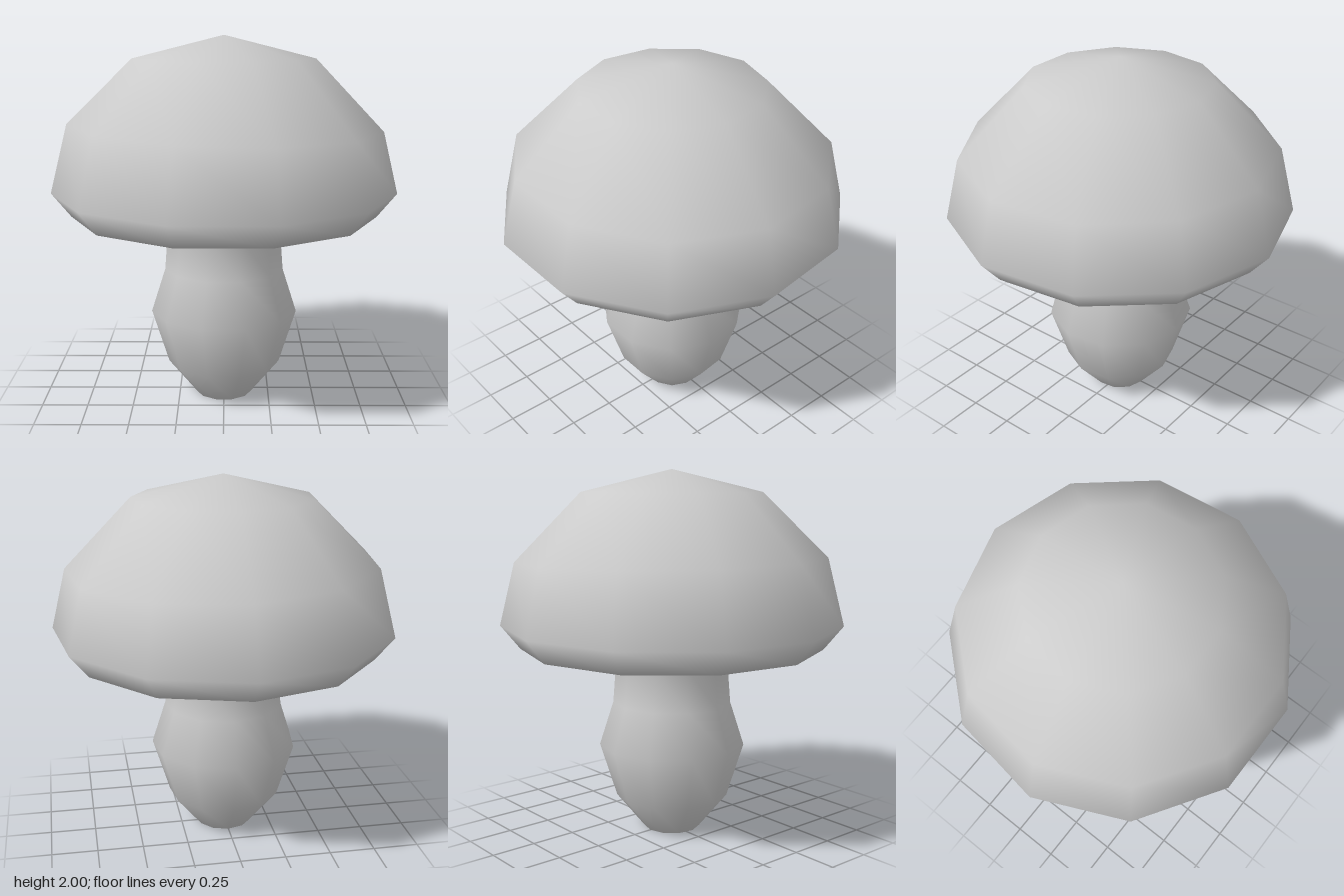
import * as THREE from 'three';
import { mergeVertices } from 'three/addons/utils/BufferGeometryUtils.js';

const SIDES = 11;

// Radius and height, from the foot up the stem, out under the cap and over it.
const PROFILE = [
  [0, 0], [0.157, 0], [0.312, 0.19], [0.405, 0.49], [0.328, 0.73], [0.31, 0.96],
  [0.36, 1.06],                                   // stem meets the underside here
  [0.83, 1.04], [0.935, 1.17], [0.847, 1.52], [0.49, 1.88], [0, 2]
];
const JOIN = 6;

export function createModel() {
  const group = new THREE.Group();
  group.name = 'mushroom';
  const material = new THREE.MeshStandardMaterial({ color: 0xcccccc });

  // One continuous low-poly lathe, so shading flows from stem to underside.
  const lathe = new THREE.LatheGeometry(
    PROFILE.map(([r, y]) => new THREE.Vector2(r, y)), SIDES, Math.PI);
  lathe.deleteAttribute('uv');
  lathe.deleteAttribute('normal');
  const body = mergeVertices(lathe);

  // The upper shoulder of the cap dips slightly to one side.
  const pos = body.attributes.position;
  for (let i = 0; i < pos.count; i++) {
    const y = pos.getY(i);
    if (y > 1.4 && y < 1.7) {
      const x = pos.getX(i);
      pos.setXY(i, x + 0.007, y - 0.024 * x);
    }
  }
  body.translate(0, 0, 0.019);
  body.computeVertexNormals();

  // Share the vertices between two parts, split by profile row.
  const index = Array.from(body.index.array);
  const perSide = 2 * (PROFILE.length - 1);
  const addPart = (name, belongs) => {
    const geometry = new THREE.BufferGeometry();
    geometry.setAttribute('position', pos);
    geometry.setAttribute('normal', body.attributes.normal);
    geometry.setIndex(index.filter((_, k) =>
      belongs(Math.floor((Math.floor(k / 3) % perSide) / 2))));
    const mesh = new THREE.Mesh(geometry, material);
    mesh.name = name;
    group.add(mesh);
  };
  addPart('stem', row => row < JOIN);
  addPart('cap', row => row >= JOIN);

  return group;
}
